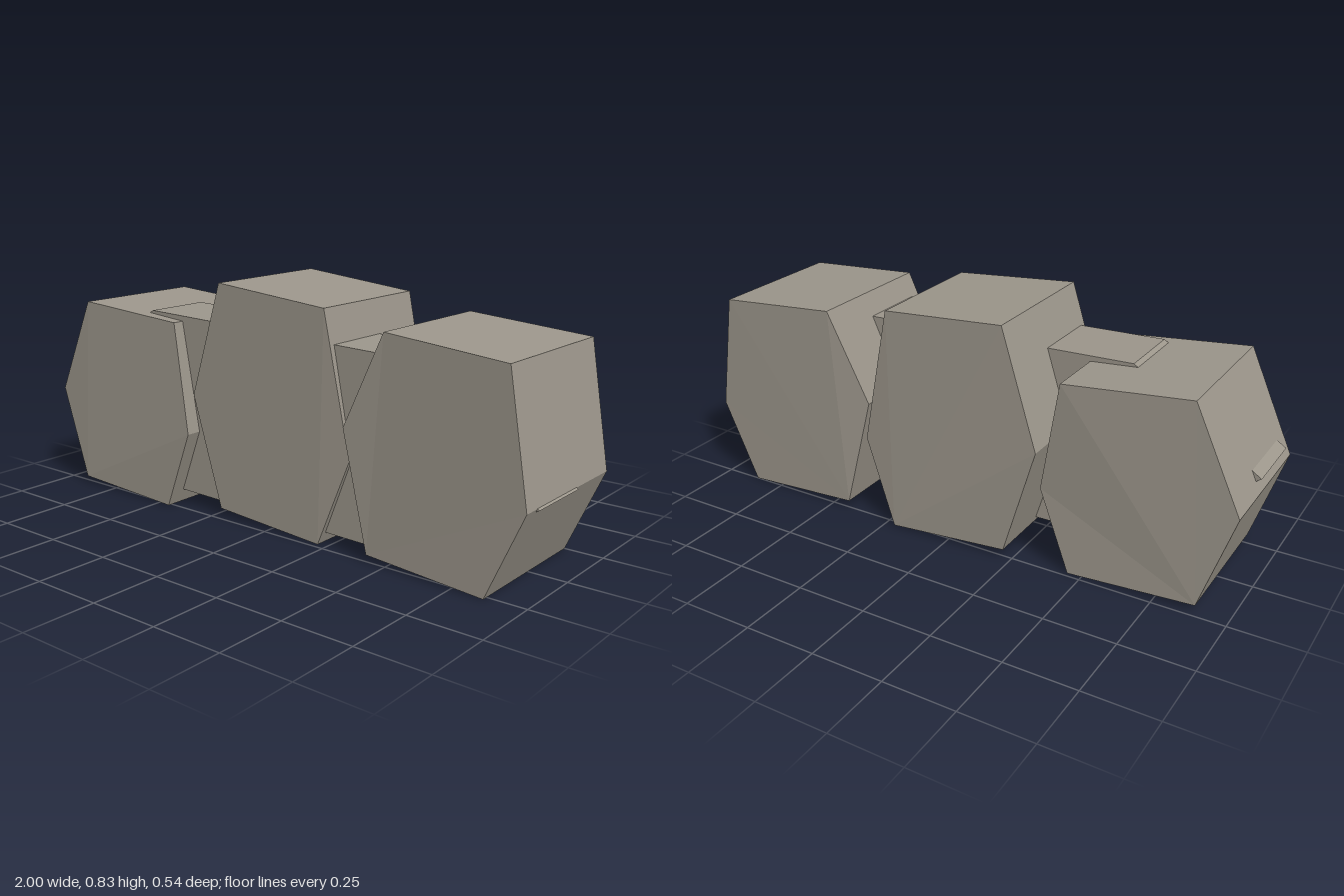
import * as THREE from 'three';

// Hexagonal block. Each corner is [x, y, frontZ, backZ], listed clockwise seen from the front.
function hexBlock(name, corners, fan, material) {
  const n = corners.length;
  const pos = [];
  const front = i => { const c = corners[i % n]; return [c[0], c[1], c[2]]; };
  const back = i => { const c = corners[i % n]; return [c[0], c[1], c[3]]; };
  const tri = (a, b, c) => pos.push(...a, ...b, ...c);
  // end faces, fanned from one corner
  for (let k = 1; k < n - 1; k++) {
    tri(front(fan), front(fan + k + 1), front(fan + k));
    tri(back(fan), back(fan + k), back(fan + k + 1));
  }
  // side walls
  for (let i = 0; i < n; i++) {
    tri(front(i), front(i + 1), back(i + 1));
    tri(front(i), back(i + 1), back(i));
  }
  const geometry = new THREE.BufferGeometry();
  geometry.setAttribute('position', new THREE.Float32BufferAttribute(pos, 3));
  geometry.computeVertexNormals();
  const mesh = new THREE.Mesh(geometry, material);
  mesh.name = name;
  return mesh;
}

export function createModel() {
  const model = new THREE.Group();
  model.name = 'hexBlockRow';
  const stone = new THREE.MeshStandardMaterial({ color: 0x9c968b });
  stone.name = 'warm grey stone';

  // three slightly uneven blocks side by side
  model.add(hexBlock('rightBlock', [
    [-0.84, 0.71, 0.27, -0.23], [-0.41, 0.675, 0.25, -0.25], [-0.34, 0.285, 0.265, -0.23],
    [-0.45, 0.0, 0.265, -0.235], [-0.89, 0.025, 0.27, -0.23], [-1.0, 0.36, 0.27, -0.225],
  ], 4, stone));
  model.add(hexBlock('middleBlock', [
    [-0.21, 0.83, 0.232, -0.262], [0.24, 0.79, 0.232, -0.245], [0.335, 0.305, 0.22, -0.25],
    [0.215, 0.0, 0.23, -0.272], [-0.22, 0.03, 0.23, -0.26], [-0.34, 0.425, 0.232, -0.267],
  ], 3, stone));
  model.add(hexBlock('leftBlock', [
    [0.48, 0.745, 0.248, -0.25], [0.92, 0.71, 0.265, -0.253], [0.993, 0.29, 0.27, -0.25],
    [0.865, 0.0, 0.27, -0.25], [0.43, 0.025, 0.255, -0.25], [0.335, 0.425, 0.255, -0.23],
  ], 4, stone));

  // long core running through all three blocks, its tips just breaking the ends
  const core = [[-0.56, 0.698], [0.445, 0.668], [1.0, 0.286], [0.5, 0.035], [-0.48, 0.052], [-1.0, 0.41]];
  model.add(hexBlock('connectingCore', core.map(([x, y]) => [x, y, 0.208, -0.038]), 4, stone));
  return model;
}
